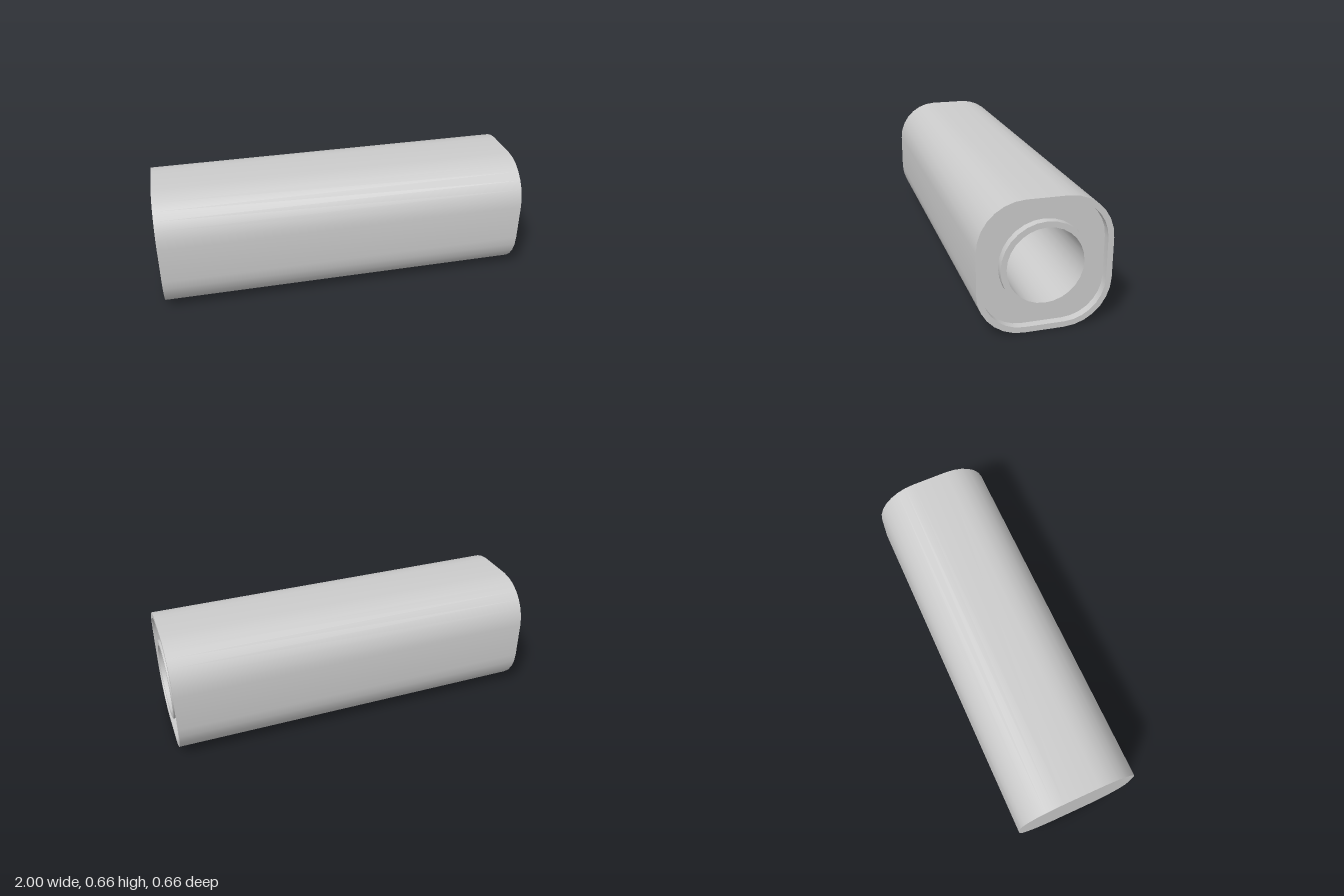
import * as THREE from 'three';
import { toCreasedNormals } from 'three/addons/utils/BufferGeometryUtils.js';

const HALF = 0.331, FLAT = 0.1, STEPS = 7;

// Rounded-square ring at x: flat half-length f, corner radius r (f = 0 gives a circle)
function ring([x, f, r]) {
  const points = [];
  for (let corner = 0; corner < 4; corner++) {
    const mid = (corner + 0.5) * Math.PI / 2;
    for (let i = 0; i <= STEPS; i++) {
      const a = (corner + i / STEPS) * Math.PI / 2;
      points.push(new THREE.Vector3(
        x,
        HALF + f * Math.sign(Math.cos(mid)) + r * Math.cos(a),
        f * Math.sign(Math.sin(mid)) + r * Math.sin(a)
      ));
    }
  }
  return points;
}

// Skin consecutive rings, skipping collapsed triangles
function loft(name, sections, material) {
  const rings = sections.map(ring), positions = [];
  const triangle = (a, b, c) => {
    const n = b.clone().sub(a).cross(c.clone().sub(a));
    if (n.length() > 1e-8) for (const p of [a, b, c]) positions.push(p.x, p.y, p.z);
  };
  for (let s = 0; s < rings.length - 1; s++) {
    const p = rings[s], q = rings[s + 1];
    for (let i = 0; i < p.length; i++) {
      const j = (i + 1) % p.length;
      triangle(p[i], p[j], q[j]);
      triangle(p[i], q[j], q[i]);
    }
  }
  const geometry = new THREE.BufferGeometry();
  geometry.setAttribute('position', new THREE.Float32BufferAttribute(positions, 3));
  const mesh = new THREE.Mesh(toCreasedNormals(geometry, 0.5), material);
  mesh.name = name;
  return mesh;
}

export function createModel() {
  const group = new THREE.Group();
  group.name = 'hollowBar';
  const material = new THREE.MeshStandardMaterial({ color: 0xcccccc });
  const floorX = 0.96, boreEnd = 0;

  group.add(
    // Closed back end, long rounded sides and the thin rim
    loft('body', [[-1, 0, 0], [-1, FLAT, 0.231], [1, FLAT, 0.231], [1, FLAT, 0.202]], material),
    // Shallow recess inside the rim
    loft('recess', [[1, FLAT, 0.202], [floorX, FLAT, 0.202], [floorX, 0, 0.217]], material),
    // Raised round collar
    loft('collar', [[floorX, 0, 0.217], [1, 0, 0.217], [1, 0, 0.188]], material),
    // Deep blind bore
    loft('bore', [[1, 0, 0.188], [boreEnd, 0, 0.188], [boreEnd, 0, 0]], material)
  );
  return group;
}
